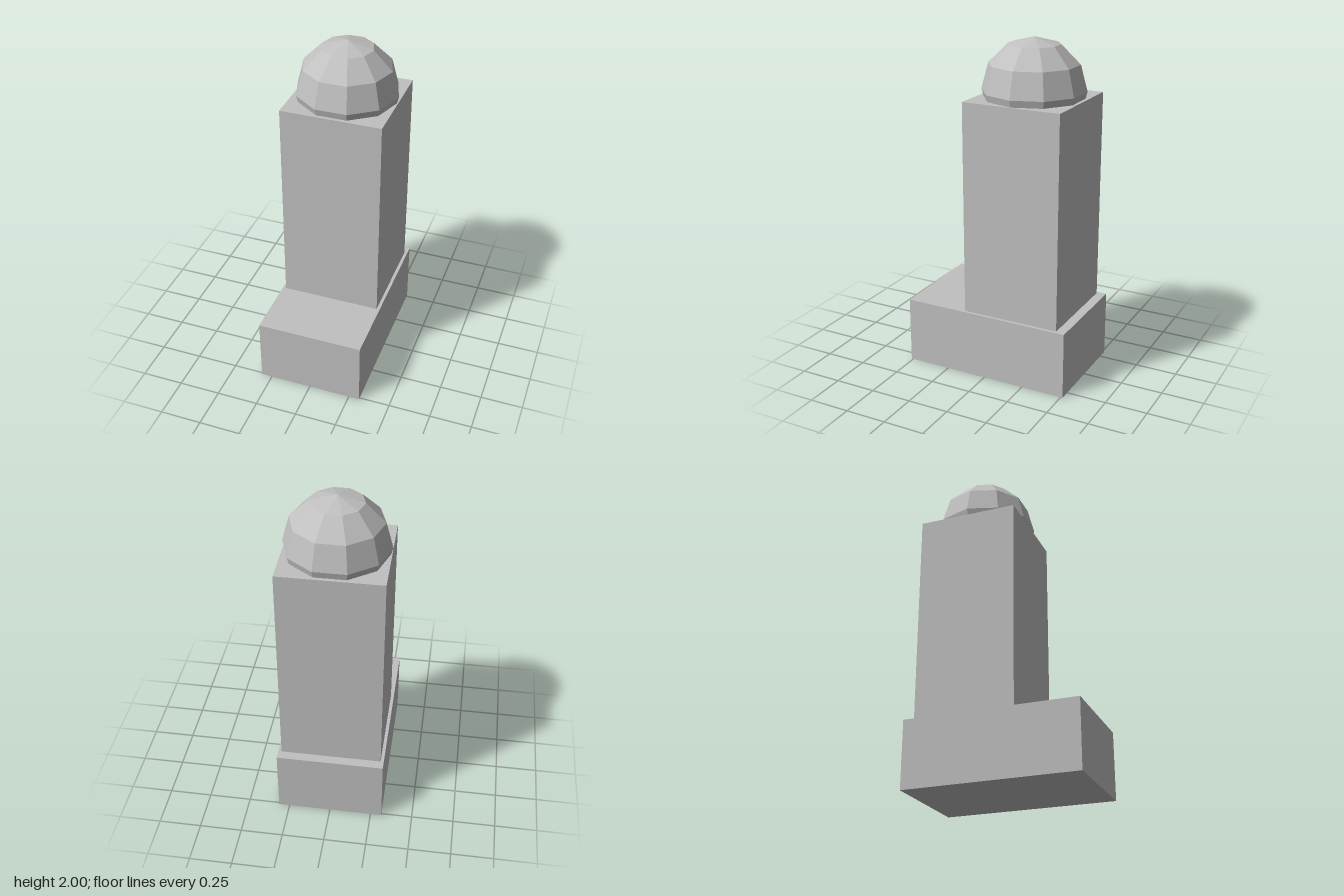
import * as THREE from 'three';

export function createModel() {
  const model = new THREE.Group();
  const stone = new THREE.MeshStandardMaterial({ color: 0xc0c0c0 });
  stone.name = 'stone grey';

  const add = (name, geometry, x, y, z) => {
    const mesh = new THREE.Mesh(geometry, stone);
    mesh.name = name;
    mesh.position.set(x, y, z);
    model.add(mesh);
  };

  // Low plinth, longer towards the front
  add('base', new THREE.BoxGeometry(0.63, 0.4, 1.024), 0, 0.2, 0);

  // Square pillar standing towards the back
  add('pillar', new THREE.BoxGeometry(0.592, 1.26, 0.592), 0, 1.03, -0.16);

  // Faceted ball half sunk into the pillar top
  const ball = new THREE.SphereGeometry(0.3, 10, 6).toNonIndexed();
  ball.computeVertexNormals();
  add('dome', ball, 0, 1.7, -0.16);

  return model;
}
